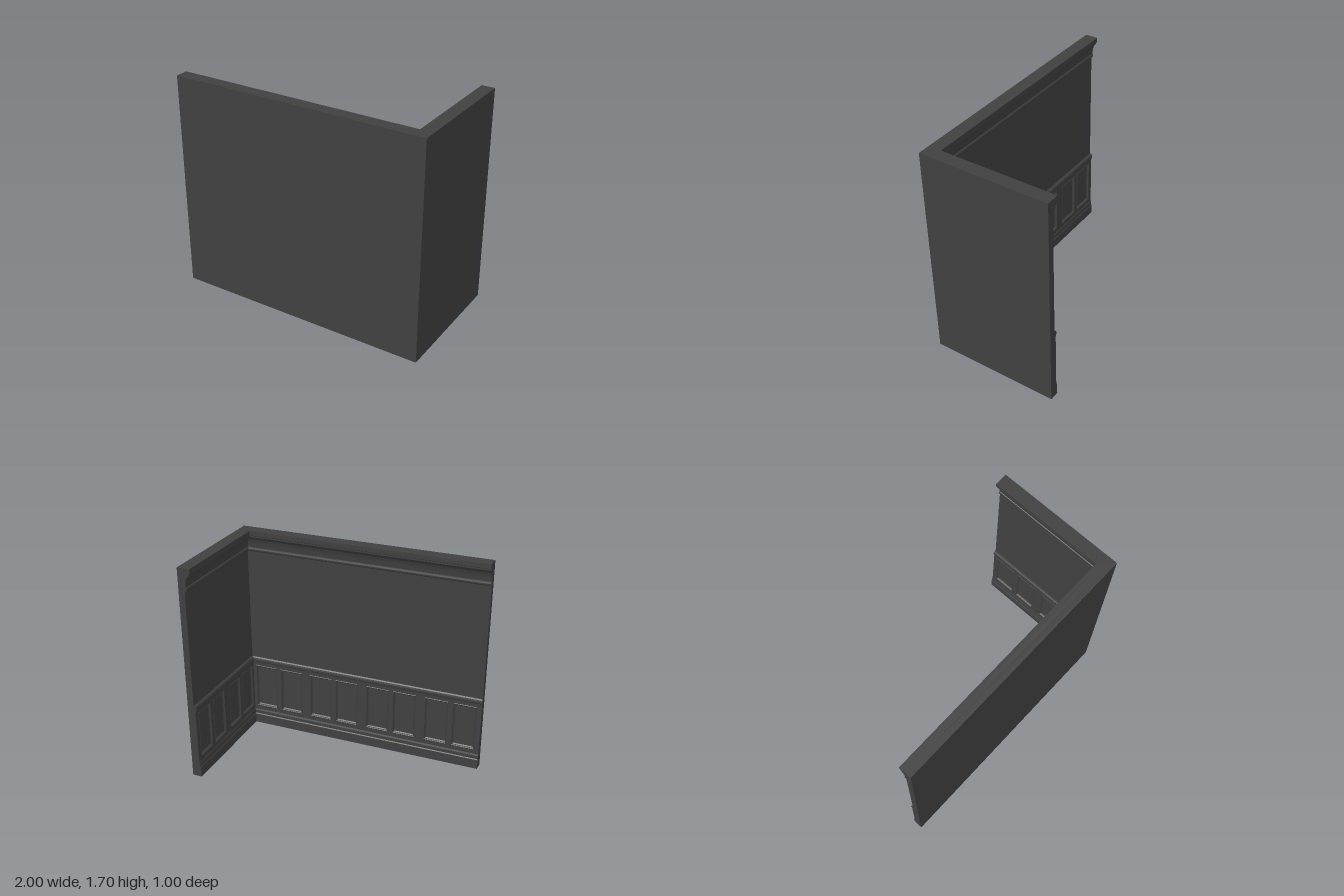
import * as THREE from 'three';

const T = 0.05;        // wall thickness
const FRAME = 0.013;   // thickness of the panelling frame
const material = new THREE.MeshStandardMaterial({ color: 0x404040 });

function flatGeometry(positions) {
  const g = new THREE.BufferGeometry();
  g.setAttribute('position', new THREE.Float32BufferAttribute(positions, 3));
  g.computeVertexNormals();
  return g;
}

function addMesh(parent, name, geometry) {
  const mesh = new THREE.Mesh(geometry, material);
  mesh.name = name;
  parent.add(mesh);
  return mesh;
}

// Sweeps a closed counter-clockwise profile of [depth from outer face, height]
// round the L of the two walls, mitred at the corner and capped at both ends.
function sweepL(profile) {
  const stations = [
    ([d, y]) => [-1, y, 0.5 - d],
    ([d, y]) => [1 - d, y, 0.5 - d],
    ([d, y]) => [1 - d, y, -0.5],
  ];
  const pos = [];
  const tri = (...points) => points.forEach((p) => pos.push(...p));
  profile.forEach((p, i) => {
    const q = profile[(i + 1) % profile.length];
    for (let s = 0; s < 2; s++) {
      const a = stations[s](p), b = stations[s + 1](p);
      const c = stations[s + 1](q), e = stations[s](q);
      tri(a, e, c);
      tri(a, c, b);
    }
  });
  const outline = profile.map(([d, y]) => new THREE.Vector2(d, y));
  for (const [i, j, k] of THREE.ShapeUtils.triangulateShape(outline, [])) {
    tri(...[i, k, j].map((n) => stations[0](profile[n])));
    tri(...[i, j, k].map((n) => stations[2](profile[n])));
  }
  return flatGeometry(pos);
}

// Mitred moulding running round the inside of a rectangle; profile is [inset, height].
function panelMoulding(x0, y0, x1, y1, profile) {
  const ring = ([i, z]) => [
    [x0 + i, y0 + i, z], [x1 - i, y0 + i, z], [x1 - i, y1 - i, z], [x0 + i, y1 - i, z],
  ];
  const pos = [];
  for (let s = 0; s < profile.length - 1; s++) {
    const a = ring(profile[s]), b = ring(profile[s + 1]);
    for (let k = 0; k < 4; k++) {
      const n = (k + 1) % 4;
      pos.push(...a[k], ...a[n], ...b[n], ...a[k], ...b[n], ...b[k]);
    }
  }
  return flatGeometry(pos);
}

function rectangle(path, x0, y0, x1, y1) {
  path.moveTo(x0, y0);
  path.lineTo(x1, y0);
  path.lineTo(x1, y1);
  path.lineTo(x0, y1);
  path.closePath();
  return path;
}

// Panelled dado for one wall: pairs of sunk panels in a flat frame.
function wainscot(name, length, pairs) {
  const group = new THREE.Group();
  group.name = name;
  const module = length / pairs, margin = 0.037, gap = 0.035;
  const width = (module - 2 * margin - gap) / 2;
  const y0 = 0.16, y1 = 0.535;
  const shape = rectangle(new THREE.Shape(), 0, 0.11, length, 0.57);
  for (let i = 0; i < pairs * 2; i++) {
    const x0 = Math.floor(i / 2) * module + margin + (i % 2) * (width + gap);
    shape.holes.push(rectangle(new THREE.Path(), x0, y0, x0 + width, y1));
    addMesh(group, 'panelMoulding', panelMoulding(x0, y0, x0 + width, y1, [
      [0, FRAME], [0.004, FRAME + 0.003], [0.008, FRAME], [0.011, 0.006], [0.018, 0],
    ]));
  }
  addMesh(group, 'panelFrame',
    new THREE.ExtrudeGeometry(shape, { depth: FRAME, bevelEnabled: false }));
  return group;
}

export function createModel() {
  const model = new THREE.Group();
  model.name = 'panelledWallCorner';

  // Plain walls
  addMesh(model, 'walls', sweepL([[0, 0], [T, 0], [T, 1.7], [0, 1.7]]));

  // Skirting with a stepped top
  addMesh(model, 'baseboard', sweepL([
    [T, 0], [0.074, 0], [0.074, 0.078], [0.069, 0.085], [0.069, 0.112],
    [0.064, 0.125], [T, 0.125],
  ]));

  // Chair rail above the panels
  addMesh(model, 'chairRail', sweepL([
    [T, 0.555], [0.065, 0.555], [0.066, 0.568], [0.071, 0.575], [0.072, 0.59],
    [0.069, 0.602], [0.062, 0.61], [T, 0.61],
  ]));

  // Crown moulding: fascia, cove and frieze, with a bead below
  addMesh(model, 'crownMoulding', sweepL([
    [T, 1.555], [0.058, 1.555], [0.06, 1.575], [0.064, 1.6], [0.071, 1.622],
    [0.08, 1.636], [0.092, 1.648], [0.092, 1.66], [0.1, 1.665], [0.1, 1.7], [T, 1.7],
  ]));
  addMesh(model, 'pictureBead', sweepL([
    [T, 1.52], [0.058, 1.522], [0.064, 1.53], [0.065, 1.54], [0.062, 1.55], [T, 1.556],
  ]));

  // Panelling on the inner faces
  const long = wainscot('longWallPanels', 1.95, 4);
  long.position.set(1 - T, 0, 0.5 - T);
  long.rotation.y = Math.PI;
  const short = wainscot('sideWallPanels', 0.95, 2);
  short.position.set(1 - T, 0, -0.5);
  short.rotation.y = -Math.PI / 2;
  model.add(long, short);

  return model;
}
